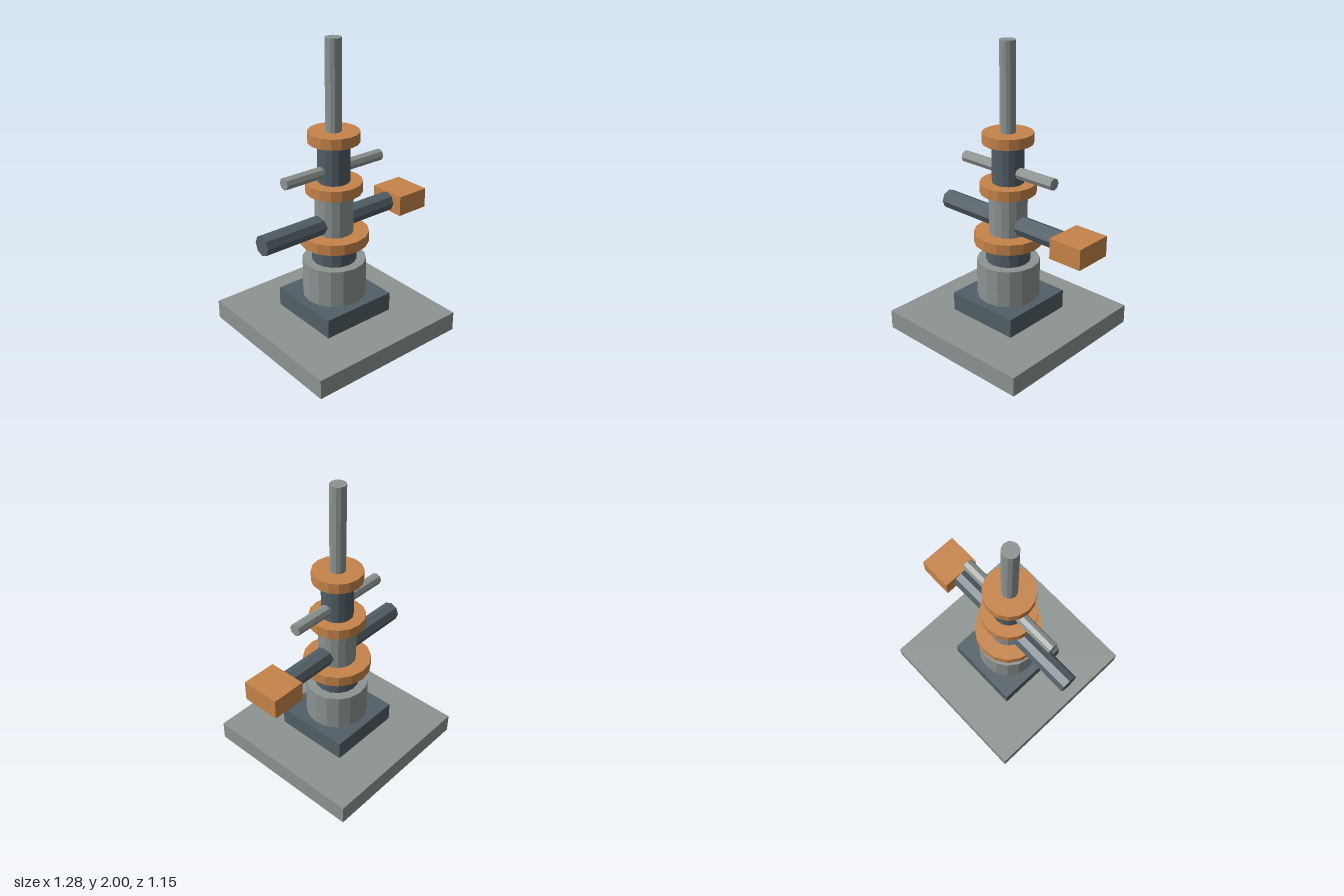
import * as THREE from 'three';

export function createModel() {
  const model = new THREE.Group();
  const mat = (name, color) => {
    const m = new THREE.MeshStandardMaterial({ color, flatShading: true });
    m.name = name;
    return m;
  };
  const steel = mat('light steel', 0x8c9492);
  const iron = mat('dark iron', 0x525f67);
  const copper = mat('copper', 0xc68449);
  const axis = -0.067; // x of the upright's centre line

  const add = (name, geometry, material, x, y) => {
    const mesh = new THREE.Mesh(geometry, material);
    mesh.name = name;
    mesh.position.set(x, y, 0);
    model.add(mesh);
    return mesh;
  };
  const slab = (name, material, x0, x1, y0, y1, depth) =>
    add(name, new THREE.BoxGeometry(x1 - x0, y1 - y0, depth), material, (x0 + x1) / 2, (y0 + y1) / 2);
  const upright = (name, material, r, y0, y1, sides = 16) =>
    add(name, new THREE.CylinderGeometry(r, r, y1 - y0, sides), material, axis, (y0 + y1) / 2);
  const crossbar = (name, material, r, x0, x1, y) => {
    const g = new THREE.CylinderGeometry(r, r, x1 - x0, 8).rotateZ(Math.PI / 2);
    return add(name, g, material, (x0 + x1) / 2, y);
  };

  // Square foot
  slab('basePlate', steel, -0.64, 0.507, 0, 0.133, 1.147);
  slab('plinth', iron, -0.333, 0.198, 0.133, 0.265, 0.53);

  // Stacked column
  upright('drum', steel, 0.213, 0.265, 0.525);
  upright('neck', iron, 0.15, 0.525, 0.655);
  upright('lowerCollar', copper, 0.23, 0.655, 0.727);
  upright('middleColumn', steel, 0.128, 0.727, 1.01);
  upright('middleCollar', copper, 0.187, 1.01, 1.08);
  upright('upperColumn', iron, 0.106, 1.08, 1.335);
  upright('upperCollar', copper, 0.167, 1.345, 1.415);
  upright('mast', steel, 0.053, 1.335, 2, 12);

  // Arms through the column, with a weight on the left end
  crossbar('mainArm', iron, 0.067, -0.635, 0.41, 0.798);
  slab('counterweight', copper, 0.4, 0.637, 0.73, 0.868, 0.265);
  crossbar('handlePin', steel, 0.04, -0.457, 0.32, 1.16);

  return model;
}
